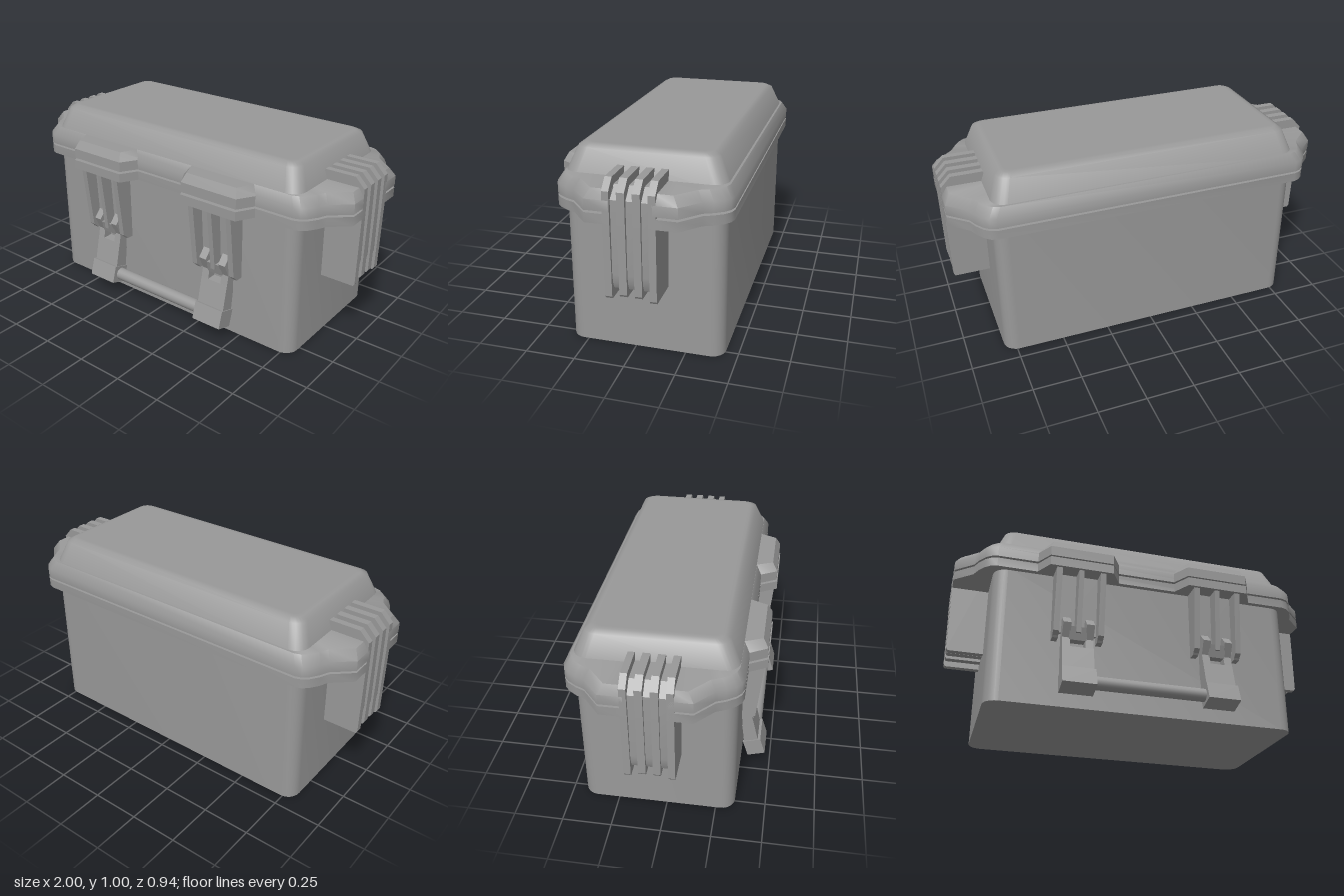
import * as THREE from 'three';
import { toCreasedNormals } from 'three/addons/utils/BufferGeometryUtils.js';

const material = new THREE.MeshStandardMaterial({ color: 0x999999 });
const CZ = -0.046; // middle of the case in z

function add(parent, name, geometry) {
  const mesh = new THREE.Mesh(geometry, material);
  mesh.name = name;
  parent.add(mesh);
  return mesh;
}

// Closed solid through stacked outlines: layers are [y, [[x, z], ...]], points turning from +x to +z
function loft(layers, crease = 0.45) {
  const pos = [];
  const n = layers[0][1].length;
  const at = (k, i) => {
    const p = layers[k][1][i % n];
    return [p[0], layers[k][0], p[1]];
  };
  const middle = (k) => {
    let x = 0, z = 0;
    for (const p of layers[k][1]) { x += p[0] / n; z += p[1] / n; }
    return [x, layers[k][0], z];
  };
  const last = layers.length - 1;
  for (let i = 0; i < n; i++) {
    for (let k = 0; k < last; k++) {
      pos.push(...at(k, i), ...at(k + 1, i), ...at(k + 1, i + 1));
      pos.push(...at(k, i), ...at(k + 1, i + 1), ...at(k, i + 1));
    }
    pos.push(...middle(0), ...at(0, i), ...at(0, i + 1));
    pos.push(...middle(last), ...at(last, i + 1), ...at(last, i));
  }
  const g = new THREE.BufferGeometry();
  g.setAttribute('position', new THREE.Float32BufferAttribute(pos, 3));
  return toCreasedNormals(g, crease);
}

// Rounded rectangle outline around the case middle
function roundRect(hx, hz, r, steps = 6) {
  const pts = [];
  [[1, 1], [-1, 1], [-1, -1], [1, -1]].forEach(([sx, sz], q) => {
    for (let i = 0; i <= steps; i++) {
      const a = (q + i / steps) * Math.PI / 2;
      pts.push([sx * (hx - r) + r * Math.cos(a), CZ + sz * (hz - r) + r * Math.sin(a)]);
    }
  });
  return pts;
}

// Rim outline with slanted corners and a notch for each side grip; inset pulls the edge inward
function rimOutline(inset) {
  const corner = [[0.95, 0.09], [1, 0.1], [1, 0.215], [0.905, 0.3], [0.885, 0.345], [0.857, 0.387], [0.83, 0.41], [0.797, 0.421]];
  const quarter = corner.map(([x, z]) => [x - inset, z > 0.2 ? z - inset : z]);
  const half = [...quarter, ...quarter.map(([x, z]) => [-x, z]).reverse()];
  return [...half, ...half.map(([x, z]) => [-x, -z])].map(([x, z]) => [x, z - 0.051]);
}

function extrude(points, depth) {
  const shape = new THREE.Shape(points.map(([a, b]) => new THREE.Vector2(a, b)));
  return new THREE.ExtrudeGeometry(shape, { depth, bevelEnabled: false });
}

// Side profile of [z, y] points, running in x from x0 to x1
function prismX(points, x0, x1) {
  return extrude(points, x1 - x0).rotateY(-Math.PI / 2).translate(x1, 0, 0);
}

// Front profile of [x, y] points, running in z from z0 to z1
function prismZ(points, z0, z1) {
  return extrude(points, z1 - z0).translate(0, 0, z0);
}

function makeLatch() {
  const latch = new THREE.Group();
  latch.name = 'latch';
  const trapezoid = (back, front, z) => [[back, 0.3], [back, 0.345], [front, z], [-front, z], [-back, 0.345], [-back, 0.3]];

  // Matching tabs on the lid and on the body rim
  add(latch, 'latchCover', loft([
    [0.777, trapezoid(0.231, 0.166, 0.456)],
    [0.83, trapezoid(0.231, 0.166, 0.456)],
    [0.875, trapezoid(0.188, 0.15, 0.43)],
  ]));
  add(latch, 'latchTab', loft([
    [0.718, trapezoid(0.231, 0.166, 0.461)],
    [0.766, trapezoid(0.231, 0.166, 0.461)],
  ]));

  // Ribs with a deep recessed plate between them
  const ribSide = [[0.33, 0.345], [0.385, 0.347], [0.391, 0.357], [0.412, 0.375], [0.447, 0.72], [0.33, 0.72]];
  for (const x of [-0.115, 0.115]) add(latch, 'latchRib', prismX(ribSide, x - 0.015, x + 0.015));
  const middleRib = [[0.33, 0.38], [0.412, 0.38], [0.447, 0.72], [0.33, 0.72]];
  add(latch, 'latchMiddleRib', prismX(middleRib, -0.013, 0.013));
  const plate = [[0.33, 0.39], [0.36, 0.39], [0.375, 0.72], [0.33, 0.72]];
  add(latch, 'latchPlate', prismX(plate, -0.11, 0.11));

  // Handle arm: forked at the top, heavy block at the bottom
  const prong = [[0.345, 0.29], [0.402, 0.29], [0.388, 0.355], [0.42, 0.425], [0.38, 0.47], [0.355, 0.45], [0.345, 0.36]];
  for (const x of [-0.06, 0.06]) add(latch, 'handleProng', prismX(prong, x - 0.021, x + 0.021));
  const arm = [[0.361, 0.145], [0.437, 0.145], [0.4, 0.303], [0.345, 0.303], [0.345, 0.255]];
  add(latch, 'handleArm', prismX(arm, -0.081, 0.081));
  const bridge = [[0.345, 0.345], [0.389, 0.345], [0.41, 0.41], [0.345, 0.41]];
  add(latch, 'handleBridge', prismX(bridge, -0.045, 0.045));
  const foot = [[0.382, 0.056], [0.473, 0.084], [0.445, 0.175], [0.354, 0.147]];
  add(latch, 'handleFoot', prismX(foot, -0.086, 0.086));
  return latch;
}

function makeSideGrip() {
  const grip = new THREE.Group();
  grip.name = 'sideGrip';
  const ribFront = (y) => [[0.78, y], [0.987, y], [0.995, y + 0.012], [1, 0.72], [1, 0.873], [0.95, 0.925], [0.79, 0.925], [0.78, 0.87]];
  [[0.045, 0.078, 0.35], [-0.027, 0.01, 0.365], [-0.098, -0.062, 0.365], [-0.167, -0.133, 0.35]].forEach(([z0, z1, y]) => {
    add(grip, 'gripRib', prismZ(ribFront(y), z0, z1));
  });
  // Lower surface between the ribs
  const core = [[0.78, 0.395], [0.965, 0.395], [0.978, 0.425], [0.985, 0.47], [0.985, 0.83], [0.93, 0.885], [0.78, 0.885]];
  add(grip, 'gripCore', toCreasedNormals(prismZ(core, -0.14, 0.05), 0.5));
  return grip;
}

export function createModel() {
  const model = new THREE.Group();
  model.name = 'carryCase';

  // Body and its rim
  const bodyOutline = roundRect(0.808, 0.39, 0.07);
  add(model, 'body', loft([[0, bodyOutline], [0.73, bodyOutline]]));
  add(model, 'bodyRim', loft([[0.718, rimOutline(0)], [0.766, rimOutline(0)]], 0.9));

  // Lid: rounded rim and raised top
  const lid = new THREE.Group();
  lid.name = 'lid';
  model.add(lid);
  add(lid, 'lidRim', loft([[0.777, rimOutline(0)], [0.83, rimOutline(0)], [0.875, rimOutline(0.027)]], 0.9));
  add(lid, 'lidTop', loft([
    [0.86, roundRect(0.809, 0.395, 0.072)],
    [0.985, roundRect(0.763, 0.34, 0.06)],
    [1, roundRect(0.735, 0.31, 0.045)],
    [1, roundRect(0.715, 0.29, 0.035)],
  ], 0.9));

  // Latches, joined by the handle bar
  for (const side of [-1, 1]) {
    const latch = makeLatch();
    latch.position.x = side * 0.373;
    model.add(latch);
  }
  const bar = add(model, 'handleBar', new THREE.CylinderGeometry(0.034, 0.034, 0.62, 24).rotateZ(Math.PI / 2));
  bar.position.set(0, 0.116, 0.407);

  // Side grips, one turned round to the other end
  const leftGrip = makeSideGrip();
  const rightGrip = makeSideGrip();
  rightGrip.rotation.y = Math.PI;
  rightGrip.position.z = -0.089;
  model.add(leftGrip, rightGrip);

  return model;
}
